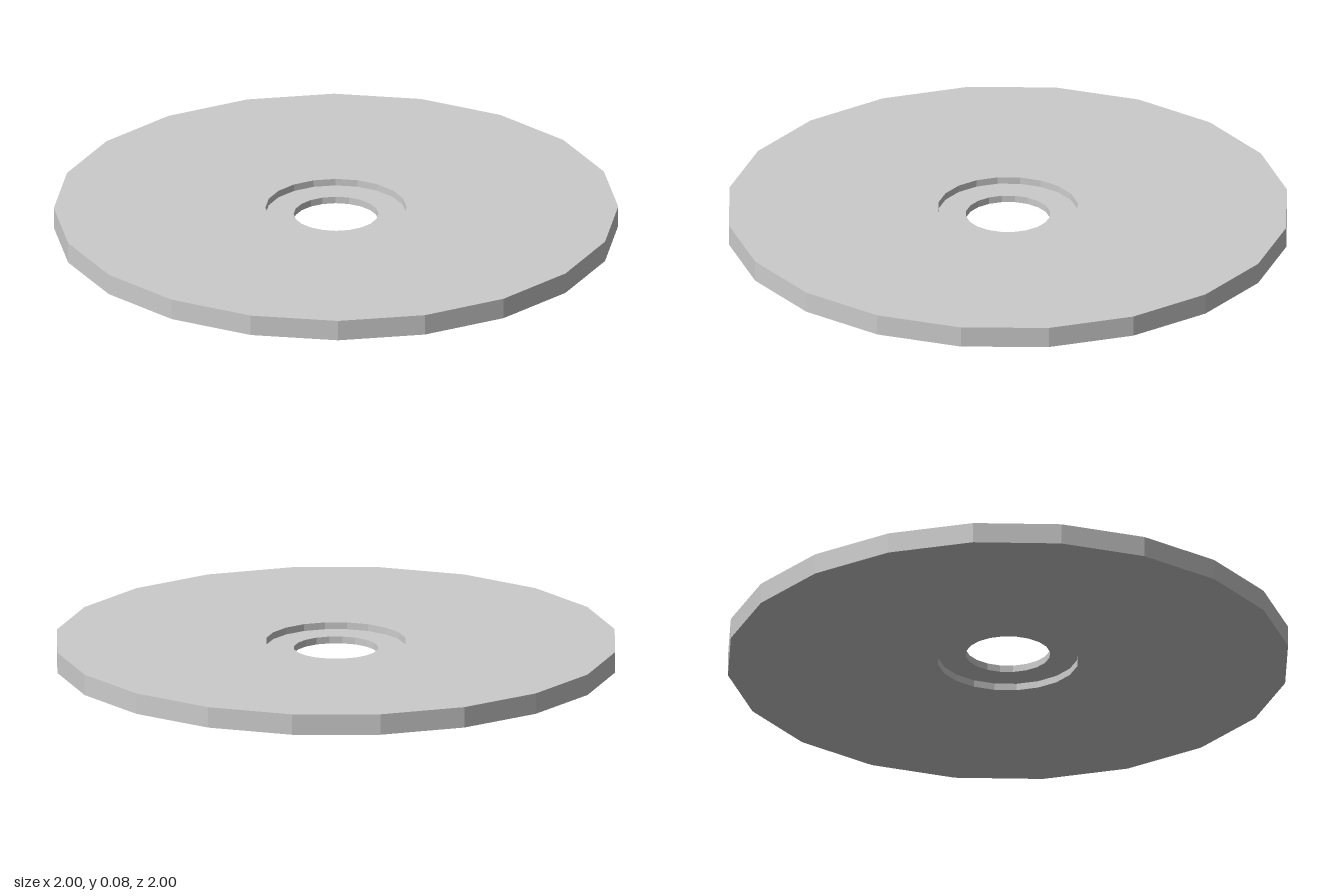
import * as THREE from 'three';

const SIDES = 20;
const HEIGHT = 0.075;
const OUTER = 1, RECESS = 0.25, BORE = 0.15;
const WEB_BOTTOM = 0.025, WEB_TOP = 0.05;

export function createModel() {
  const group = new THREE.Group();
  group.name = 'wheel';

  // Closed cross-section: rim, top face, upper recess, bore, lower recess, bottom face
  const profile = [
    [OUTER, 0], [OUTER, HEIGHT],
    [RECESS, HEIGHT], [RECESS, WEB_TOP],
    [BORE, WEB_TOP], [BORE, WEB_BOTTOM],
    [RECESS, WEB_BOTTOM], [RECESS, 0],
    [OUTER, 0],
  ].map(([r, y]) => new THREE.Vector2(r, y));

  // Faceted disc with a thin recessed web around the bore
  const geometry = new THREE.LatheGeometry(profile, SIDES).toNonIndexed();
  geometry.computeVertexNormals();
  const disc = new THREE.Mesh(
    geometry,
    new THREE.MeshStandardMaterial({ color: 0xcccccc, flatShading: true }),
  );
  disc.name = 'recessedDisc';
  group.add(disc);

  return group;
}
